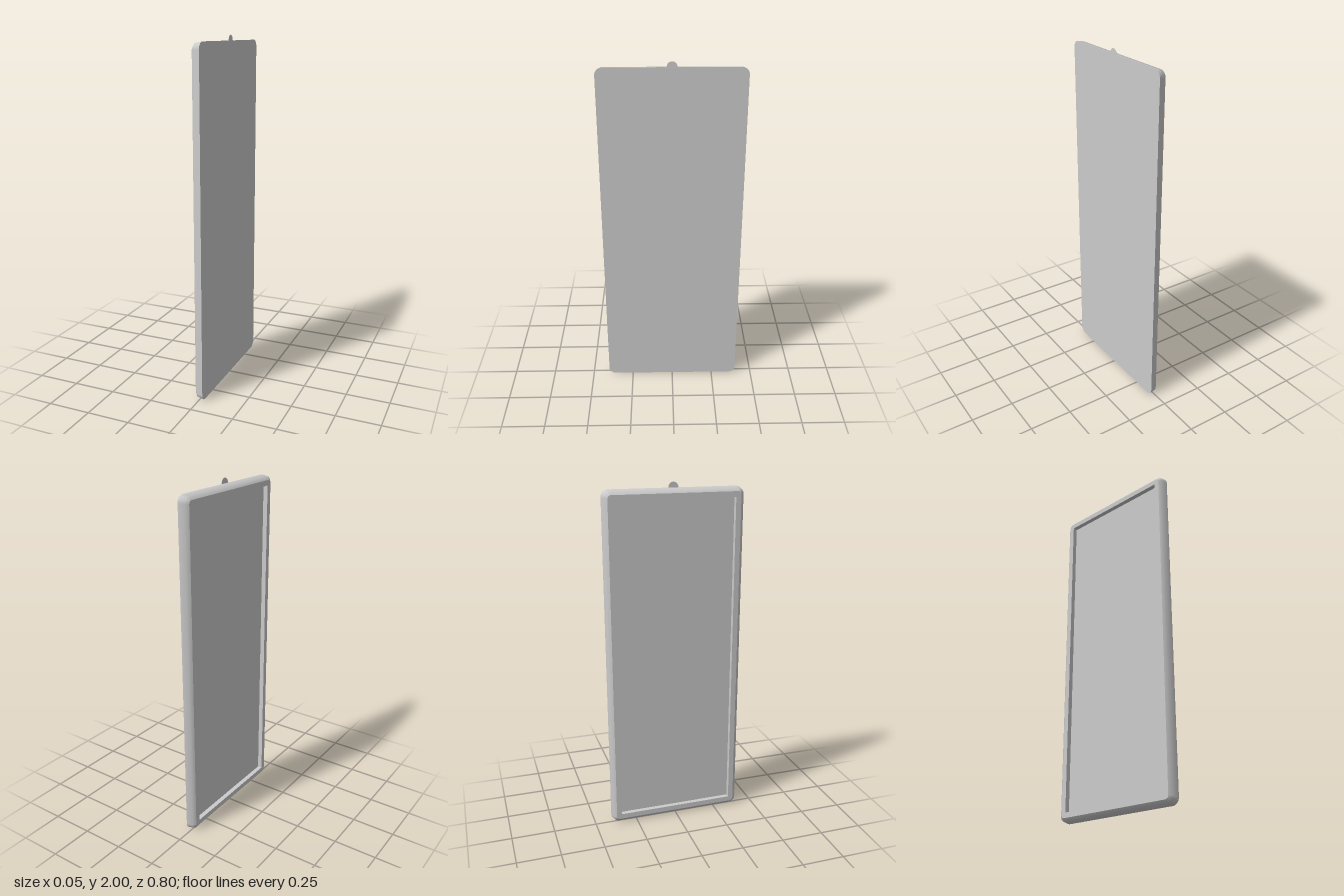
import * as THREE from 'three';
import { toCreasedNormals } from 'three/addons/utils/BufferGeometryUtils.js';

const W = 0.4, H = 0.985;              // half width and half height of the panel
const BACK = -0.025, FRONT = 0.027, FLOOR = 0;
const MARGIN = 0.055;                  // rim width around the recess

// Rounded rectangle outline, counter-clockwise, shrunk by an inset
function outline(inset, radius = 0) {
  const w = W - inset, h = H - inset, pts = [];
  const steps = radius > 0 ? 8 : 0;
  [[1, 1], [-1, 1], [-1, -1], [1, -1]].forEach(([sx, sy], q) => {
    for (let i = 0; i <= steps; i++) {
      const a = (q + (steps ? i / steps : 0)) * Math.PI / 2;
      pts.push(new THREE.Vector2(
        sx * (w - radius) + radius * Math.cos(a),
        H + sy * (h - radius) + radius * Math.sin(a)));
    }
  });
  return pts;
}

// Joins successive closed outlines, each { pts, z }, with a band of faces
function loft(rings) {
  const pos = [], index = [], n = rings[0].pts.length;
  rings.forEach(({ pts, z }) => pts.forEach(p => pos.push(p.x, p.y, z)));
  for (let r = 0; r < rings.length - 1; r++) {
    for (let i = 0; i < n; i++) {
      const a = r * n + i, b = r * n + (i + 1) % n;
      index.push(a, b, b + n, a, b + n, a + n);
    }
  }
  const geo = new THREE.BufferGeometry();
  geo.setAttribute('position', new THREE.Float32BufferAttribute(pos, 3));
  geo.setIndex(index);
  return toCreasedNormals(geo, 0.8);
}

export function createModel() {
  const group = new THREE.Group();
  const body = new THREE.Group();
  body.name = 'wallPanel';
  group.add(body);
  const material = new THREE.MeshStandardMaterial({ color: 0xcccccc });
  const add = (name, geo) => {
    const mesh = new THREE.Mesh(geo, material);
    mesh.name = name;
    body.add(mesh);
    return mesh;
  };

  // Outer rim: slight draft, then a chamfer to the front face
  const rim = [
    { pts: outline(0, 0.04), z: BACK },
    { pts: outline(0.007, 0.035), z: 0.013 },
    { pts: outline(0.025, 0.02), z: FRONT },
  ];
  add('rim', loft(rim));

  // Front face of the frame with its rectangular opening
  const opening = outline(MARGIN);
  const face = new THREE.Shape(rim[2].pts);
  face.holes.push(new THREE.Path(opening));
  add('frameFace', new THREE.ShapeGeometry(face).translate(0, 0, FRONT));

  // Recess walls and floor
  add('recessWalls', loft([{ pts: opening, z: FRONT }, { pts: opening, z: FLOOR }]));
  add('recessFloor', new THREE.ShapeGeometry(new THREE.Shape(opening)).translate(0, 0, FLOOR));

  // Flat back
  const back = new THREE.ShapeGeometry(new THREE.Shape(rim[0].pts));
  add('backPanel', back.rotateY(Math.PI).translate(0, 0, BACK));

  // Thin hanging tab at the top of the back
  const tab = new THREE.Shape();
  tab.moveTo(0.047, 1.966);
  tab.quadraticCurveTo(0.029, 1.966, 0.028, 1.974);
  tab.absarc(0, 1.972, 0.028, 0.07, Math.PI - 0.07, false);
  tab.quadraticCurveTo(-0.029, 1.966, -0.047, 1.966);
  const tabGeo = new THREE.ExtrudeGeometry(tab, { depth: 0.002, bevelEnabled: false, curveSegments: 16 });
  add('hangingTab', tabGeo.translate(0, 0, -0.027));

  // The framed side faces -x
  body.rotation.y = -Math.PI / 2;
  return group;
}
